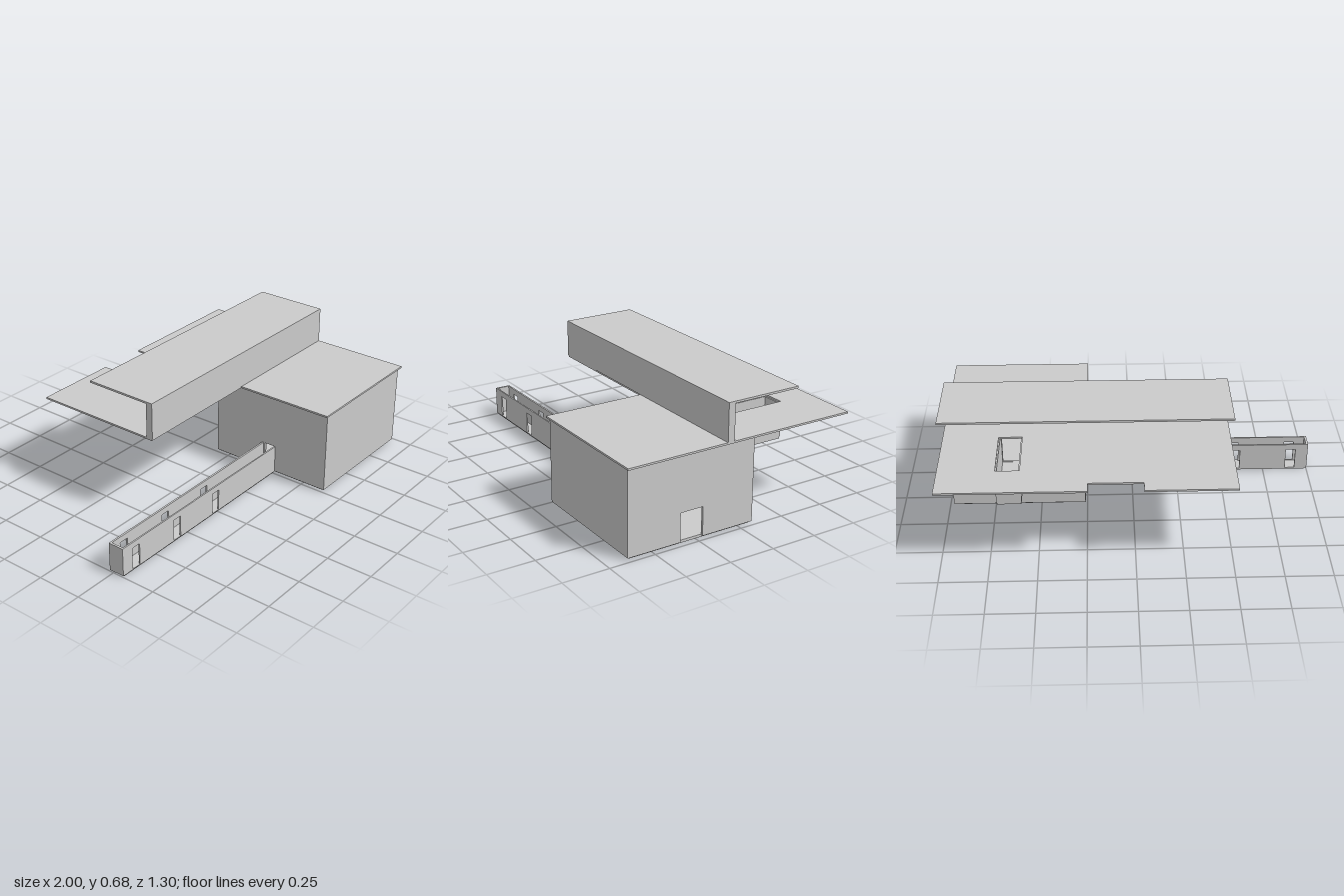
import * as THREE from 'three';

const material = new THREE.MeshStandardMaterial({ color: 0xcccccc, flatShading: true });
const rect = (a0, a1, b0, b1) => [[a0, b0], [a1, b0], [a1, b1], [a0, b1]];
const toPoints = (list) => list.map(([a, b]) => new THREE.Vector2(a, b));

export function createModel() {
  const model = new THREE.Group();

  const add = (parent, name, geometry) => {
    const mesh = new THREE.Mesh(geometry, material);
    mesh.name = name;
    parent.add(mesh);
    return mesh;
  };
  const group = (name) => {
    const g = new THREE.Group();
    g.name = name;
    model.add(g);
    return g;
  };
  // Box given by its limits on each axis
  const box = (parent, name, x0, x1, y0, y1, z0, z1) =>
    add(parent, name, new THREE.BoxGeometry(x1 - x0, y1 - y0, z1 - z0)
      .translate((x0 + x1) / 2, (y0 + y1) / 2, (z0 + z1) / 2));
  // Flat outline with holes, given a thickness
  const plate = (outline, holes, depth) => {
    const shape = new THREE.Shape(toPoints(outline));
    shape.holes = holes.map((h) => new THREE.Path(toPoints(h)));
    return new THREE.ExtrudeGeometry(shape, { depth, bevelEnabled: false });
  };
  // Wall running along x, outline in (x, y)
  const wallX = (parent, name, outline, holes, z0, z1) =>
    add(parent, name, plate(outline, holes, z1 - z0).translate(0, 0, z0));
  // Wall running along z, outline in (z, y)
  const wallZ = (parent, name, outline, holes, x0, x1) =>
    add(parent, name, plate(outline, holes, x1 - x0).rotateY(-Math.PI / 2).translate(x1, 0, 0));

  // Main room: floor plus four walls
  const room = group('mainRoom');
  const t = 0.013, low = 0.01, top = 0.463;
  box(room, 'roomFloor', 0.273, 0.967, 0, 0.014, -0.067, 0.627);
  wallX(room, 'frontWall', rect(0.26, 0.98, low, top), [], 0.64 - t, 0.64);
  wallX(room, 'backWall', rect(0.26, 0.98, low, top), [rect(0.593, 0.697, 0.282, 0.455)], -0.08, -0.08 + t);
  const z0 = -0.08 + t, z1 = 0.64 - t;
  // Side walls have a doorway cut up from the bottom edge
  const doorWall = (a, b, h) =>
    [[z0, low], [a, low], [a, h], [b, h], [b, low], [z1, low], [z1, top], [z0, top]];
  wallZ(room, 'doorWall', doorWall(0.216, 0.345, 0.165), [], 0.98 - t, 0.98);
  wallZ(room, 'passageWall', doorWall(0.247, 0.31, 0.165), [], 0.26, 0.26 + t);

  // Broad roof with a notch at the back and a stair opening
  const roofOutline = [
    [-0.51, -0.65], [-0.04, -0.65], [-0.04, -0.58], [0.24, -0.58], [0.24, -0.65],
    [1, -0.65], [1, 0.65], [0.24, 0.65], [0.24, 0.09], [-0.51, 0.09],
  ].map(([x, z]) => [x, -z]);
  add(model, 'mainRoof', plate(roofOutline, [rect(0.583, 0.707, 0.14, 0.457)], 0.01)
    .rotateX(-Math.PI / 2).translate(0, top, 0));

  // Stair shaft hanging under the roof opening
  const shaft = group('stairShaft');
  box(shaft, 'shaftFloor', 0.583, 0.707, 0.268, 0.28, -0.457, -0.08);
  for (const x of [0.58, 0.7]) box(shaft, 'shaftSide', x, x + 0.01, 0.28, top, -0.46, -0.08);
  box(shaft, 'shaftEnd', 0.59, 0.7, 0.28, top, -0.46, -0.45);

  // Upper canopy: long wall carrying a flat roof
  const canopy = group('upperCanopy');
  box(canopy, 'canopyWall', -0.51, 1, 0.473, 0.664, 0.056, 0.094);
  box(canopy, 'canopyRoof', -0.51, 1, 0.664, 0.675, -0.32, 0.094);

  // Open-topped passage with window slots in both long walls
  const passage = group('passage');
  const slots = [-0.93, -0.615, -0.3].map((x) => rect(x, x + 0.054, 0.012, 0.132));
  box(passage, 'passageFloor', -0.99, 0.26, 0, 0.01, 0.232, 0.31);
  wallX(passage, 'passageBackWall', rect(-1, 0.26, 0.008, 0.165), slots, 0.227, 0.237);
  wallX(passage, 'passageFrontWall', rect(-1, 0.26, 0.008, 0.165), slots, 0.307, 0.315);
  box(passage, 'passageEnd', -1, -0.988, 0.008, 0.165, 0.237, 0.307);

  return model;
}
